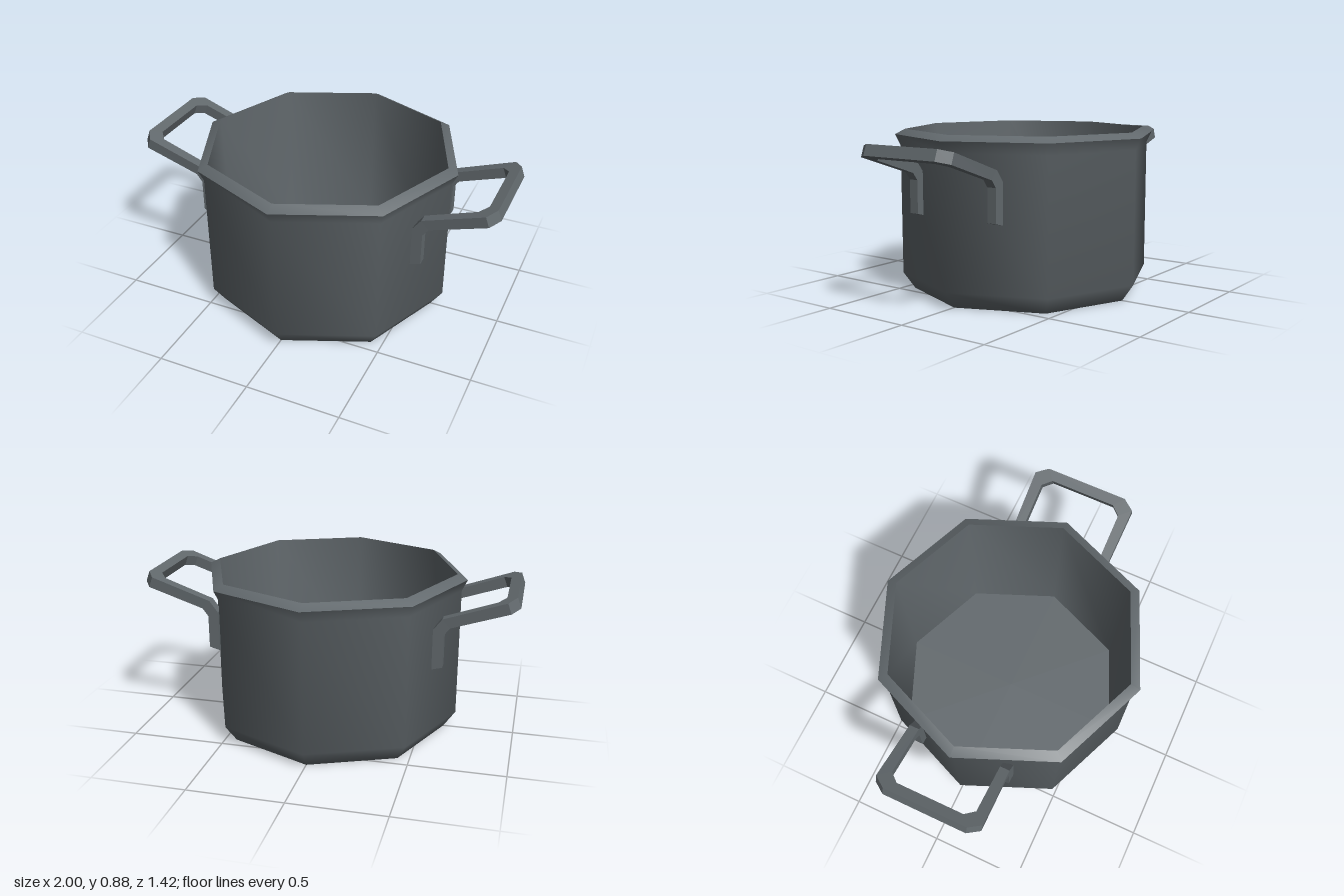
import * as THREE from 'three';
import { toCreasedNormals } from 'three/addons/utils/BufferGeometryUtils.js';

const darkMetal = new THREE.MeshStandardMaterial({ color: 0x62696d });
darkMetal.name = 'darkMetal';

// Eight-sided pot: outer wall, flared rim and tapered inner wall in one profile
function createPot() {
  const profile = [
    [0, 0], [0.62, 0], [0.683, 0.09], [0.683, 0.79], [0.712, 0.85],
    [0.658, 0.878], [0.632, 0.05], [0, 0.05],
  ].map(([r, y]) => new THREE.Vector2(r, y));
  const geometry = toCreasedNormals(new THREE.LatheGeometry(profile, 8), 1.04);
  const pot = new THREE.Mesh(geometry, darkMetal);
  pot.name = 'potBody';
  return pot;
}

// Four-cornered cross-section on the sloping part of the handle
function slopeSection(xOuter, zOuter, xInner, zInner) {
  const low = (x) => 0.675 + 0.338 * (x - 0.66);
  return [
    [xOuter, low(xOuter), zOuter], [xOuter - 0.02, low(xOuter) + 0.055, zOuter],
    [xInner - 0.02, low(xInner) + 0.055, zInner], [xInner, low(xInner), zInner],
  ];
}

// Cross-section on the leg, from the outer face point to the wall side point
function legSection([xa, ya], [xb, yb]) {
  return [[xa, ya, 0.28], [xb, yb, 0.28], [xb, yb, 0.228], [xa, ya, 0.228]];
}

// Square bar running up one leg, across the grip and down the other leg
function createHandleGeometry() {
  const half = [
    legSection([0.63, 0.46], [0.575, 0.445]),
    legSection([0.63, 0.635], [0.575, 0.66]),
    legSection([0.66, 0.675], [0.62, 0.72]),
    slopeSection(0.957, 0.287, 0.907, 0.228),
    slopeSection(1.0, 0.225, 0.947, 0.18),
  ];
  const mirrored = half.map((s) => s.map(([x, y, z]) => [x, y, -z])).reverse();
  const rings = [...half, ...mirrored];
  const positions = [];
  const quad = (a, b, c, d) => positions.push(...a, ...b, ...c, ...a, ...c, ...d);

  for (let i = 0; i < rings.length - 1; i++) {
    for (let k = 0; k < 4; k++) {
      const n = (k + 1) % 4;
      quad(rings[i][n], rings[i][k], rings[i + 1][k], rings[i + 1][n]);
    }
  }
  // End caps
  quad(...rings[0]);
  quad(...[...rings[rings.length - 1]].reverse());

  const geometry = new THREE.BufferGeometry();
  geometry.setAttribute('position', new THREE.Float32BufferAttribute(positions, 3));
  geometry.computeVertexNormals();
  return geometry;
}

export function createModel() {
  const model = new THREE.Group();
  model.name = 'cookingPot';
  model.add(createPot());

  const handleGeometry = createHandleGeometry();
  ['leftHandle', 'rightHandle'].forEach((name, i) => {
    const handle = new THREE.Mesh(handleGeometry, darkMetal);
    handle.name = name;
    handle.rotation.y = i * Math.PI;
    model.add(handle);
  });
  return model;
}
